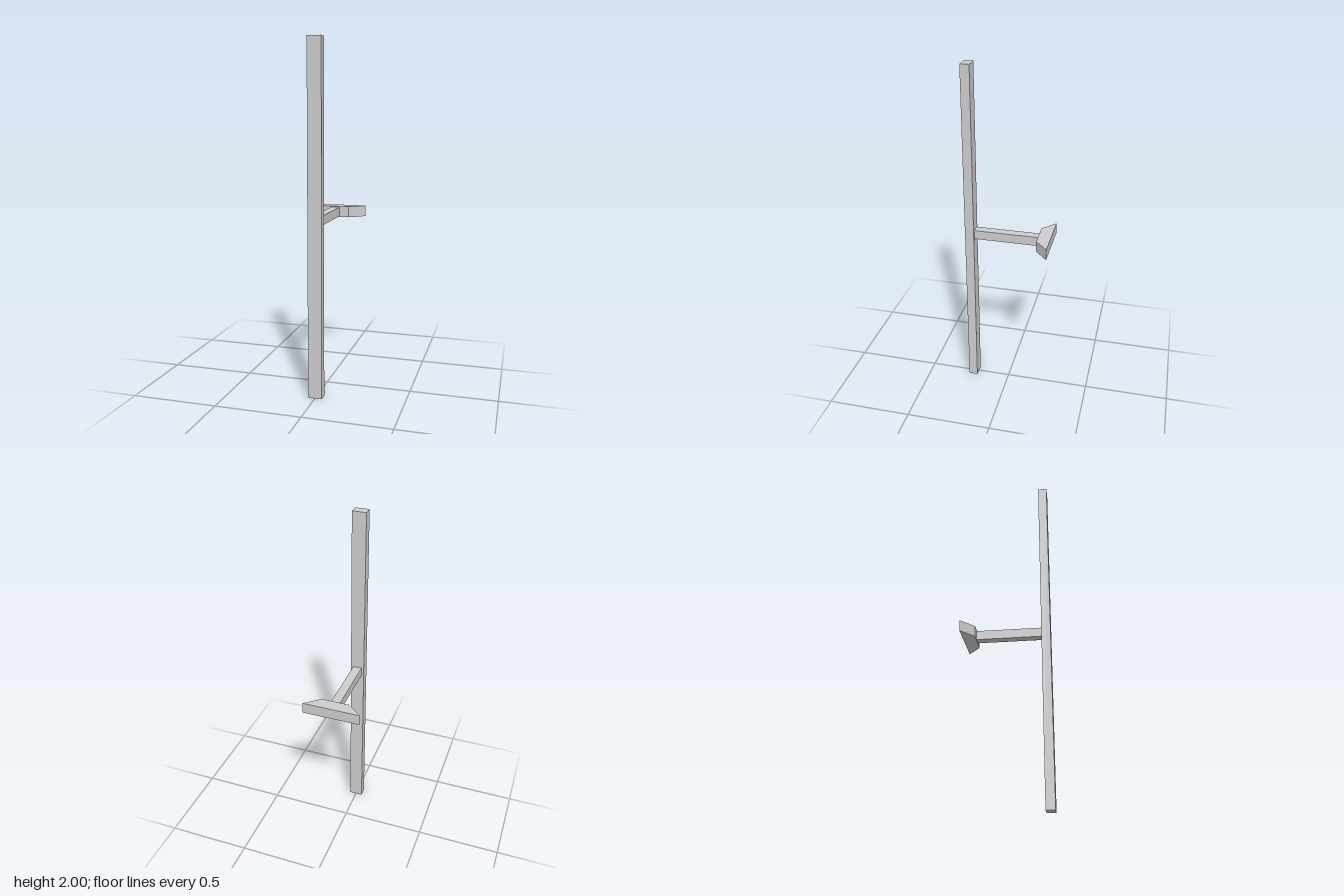
import * as THREE from 'three';

export function createModel() {
  const group = new THREE.Group();
  const material = new THREE.MeshStandardMaterial({ color: 0xcccccc, flatShading: true });

  const add = (name, geometry, x, y, z) => {
    const mesh = new THREE.Mesh(geometry, material);
    mesh.name = name;
    mesh.position.set(x, y, z);
    group.add(mesh);
  };

  // Tall upright post at the front
  add('post', new THREE.BoxGeometry(0.08, 2, 0.052), 0, 1, 0.224);

  // Horizontal arm reaching back from the post
  add('arm', new THREE.BoxGeometry(0.052, 0.054, 0.376), 0, 1.01, 0.01);

  // Trapezoid end plate, wide side facing back (shape y is -z)
  const plate = new THREE.Shape([
    new THREE.Vector2(-0.082, 0.178),
    new THREE.Vector2(0.082, 0.178),
    new THREE.Vector2(0.168, 0.252),
    new THREE.Vector2(-0.168, 0.252),
  ]);
  const plateGeometry = new THREE.ExtrudeGeometry(plate, { depth: 0.064, bevelEnabled: false });
  plateGeometry.rotateX(-Math.PI / 2);
  add('endPlate', plateGeometry, 0, 0.978, 0);

  return group;
}
